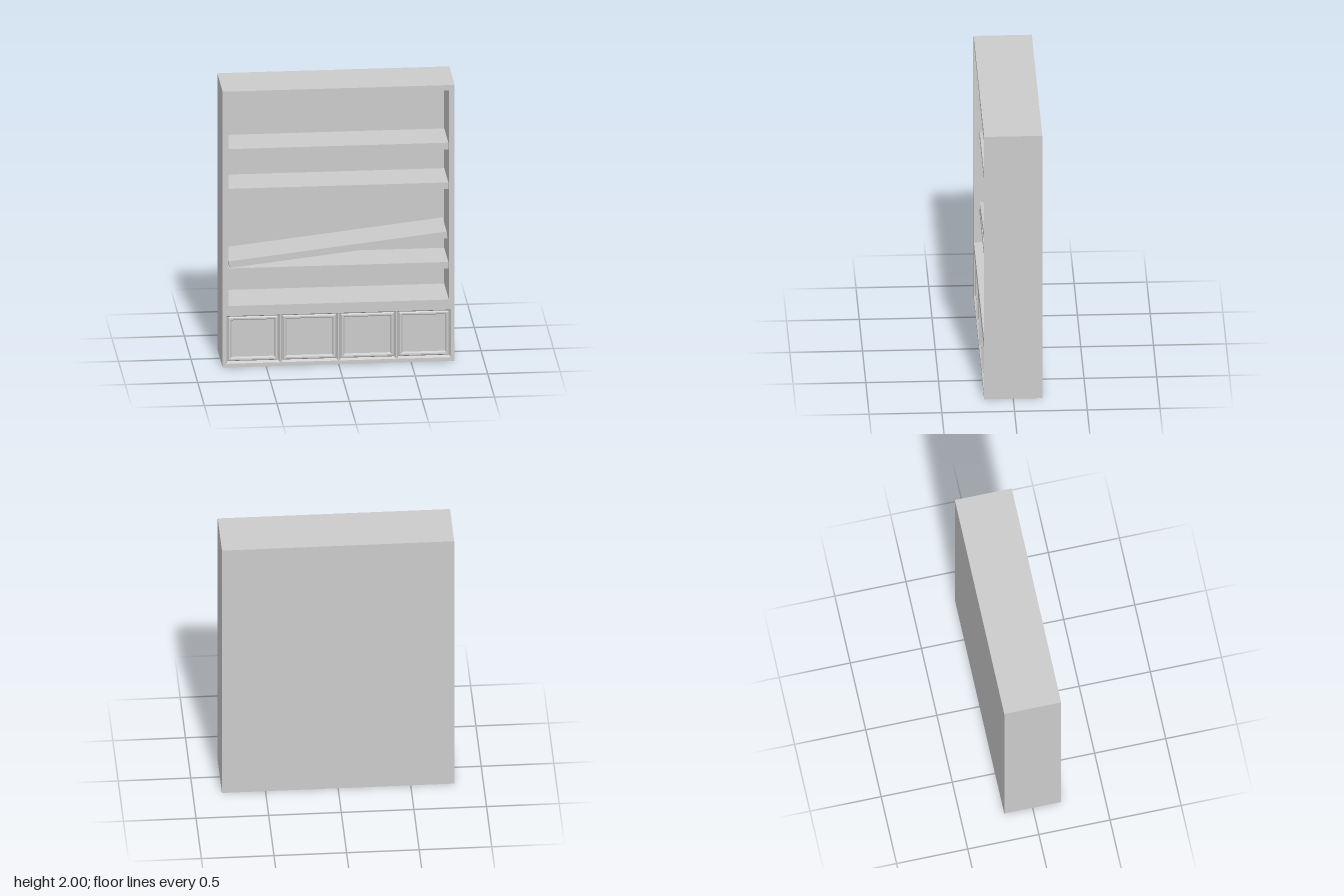
import * as THREE from 'three';

const W = 1.6, H = 2, FRONT = 0.2, BACK = -0.2;
const INNER_BACK = -0.147, FACE_BACK = 0.165;
const OPEN = [-0.76, 0.445, 0.76, 1.96]; // shelf opening: x0, y0, x1, y1

const material = new THREE.MeshStandardMaterial({ color: 0xcccccc });

function add(parent, name, geometry, x = 0, y = 0, z = 0) {
  const mesh = new THREE.Mesh(geometry, material);
  mesh.name = name;
  mesh.position.set(x, y, z);
  parent.add(mesh);
  return mesh;
}

// Corners of a rectangle, counter-clockwise, shrunk by an inset
function corners([x0, y0, x1, y1], inset = 0) {
  return [
    [x0 + inset, y0 + inset], [x1 - inset, y0 + inset],
    [x1 - inset, y1 - inset], [x0 + inset, y1 - inset],
  ].map(([x, y]) => new THREE.Vector2(x, y));
}

// Upright slab with rectangular holes
function slab(holes, depth) {
  const shape = new THREE.Shape(corners([-W / 2, 0, W / 2, H]));
  holes.forEach((hole) => shape.holes.push(new THREE.Path(corners(hole).reverse())));
  return new THREE.ExtrudeGeometry(shape, { depth, bevelEnabled: false });
}

// Moulded door: nested rectangles stepping inward, closed by a flat centre
function doorGeometry(rect) {
  const profile = [[0, 0], [0.012, -0.022], [0.02, -0.012], [0.031, -0.012], [0.04, -0.028]];
  const loops = profile.map(([inset, z]) =>
    corners(rect, inset).map((p) => [p.x, p.y, FRONT + z]));
  const points = [];
  const quad = (a, b, c, d) => points.push(...a, ...b, ...c, ...a, ...c, ...d);
  for (let k = 0; k < loops.length - 1; k++) {
    const outer = loops[k], inner = loops[k + 1];
    for (let i = 0; i < 4; i++) {
      const j = (i + 1) % 4;
      quad(outer[i], outer[j], inner[j], inner[i]);
    }
  }
  quad(...loops[loops.length - 1]);
  const geometry = new THREE.BufferGeometry();
  geometry.setAttribute('position', new THREE.Float32BufferAttribute(points, 3));
  geometry.computeVertexNormals();
  return geometry;
}

export function createModel() {
  const model = new THREE.Group();
  model.name = 'bookcase';

  // Door recesses side by side along the base
  const edges = [-0.775, -0.4, 0, 0.4, 0.775];
  const doors = edges.slice(0, -1).map((x, i) => [
    x + (i > 0 ? 0.003 : 0), 0.027,
    edges[i + 1] - (i < 3 ? 0.003 : 0), 0.372,
  ]);

  // Case: back panel, carcass and front face
  add(model, 'backPanel', new THREE.BoxGeometry(W, H, INNER_BACK - BACK),
    0, H / 2, (INNER_BACK + BACK) / 2);
  add(model, 'carcass', slab([OPEN], FACE_BACK - INNER_BACK), 0, 0, INNER_BACK);
  add(model, 'frontFrame', slab([OPEN, ...doors], FRONT - FACE_BACK), 0, 0, FACE_BACK);

  // Doors
  doors.forEach((rect, i) => add(model, `door${i + 1}`, doorGeometry(rect)));

  // Level shelves, set back slightly from the front
  const shelfFront = 0.16, depth = shelfFront - INNER_BACK;
  const shelfZ = (shelfFront + INNER_BACK) / 2, thickness = 0.048;
  [0.68, 1.257, 1.545].forEach((y, i) =>
    add(model, `shelf${i + 1}`, new THREE.BoxGeometry(1.52, thickness, depth), 0, y, shelfZ));

  // Fallen shelf, resting at a slant
  const slanted = add(model, 'slantedShelf',
    new THREE.BoxGeometry(1.512, thickness, depth), 0, 0.816, shelfZ);
  slanted.rotation.z = Math.atan2(0.17, 1.505);

  return model;
}
